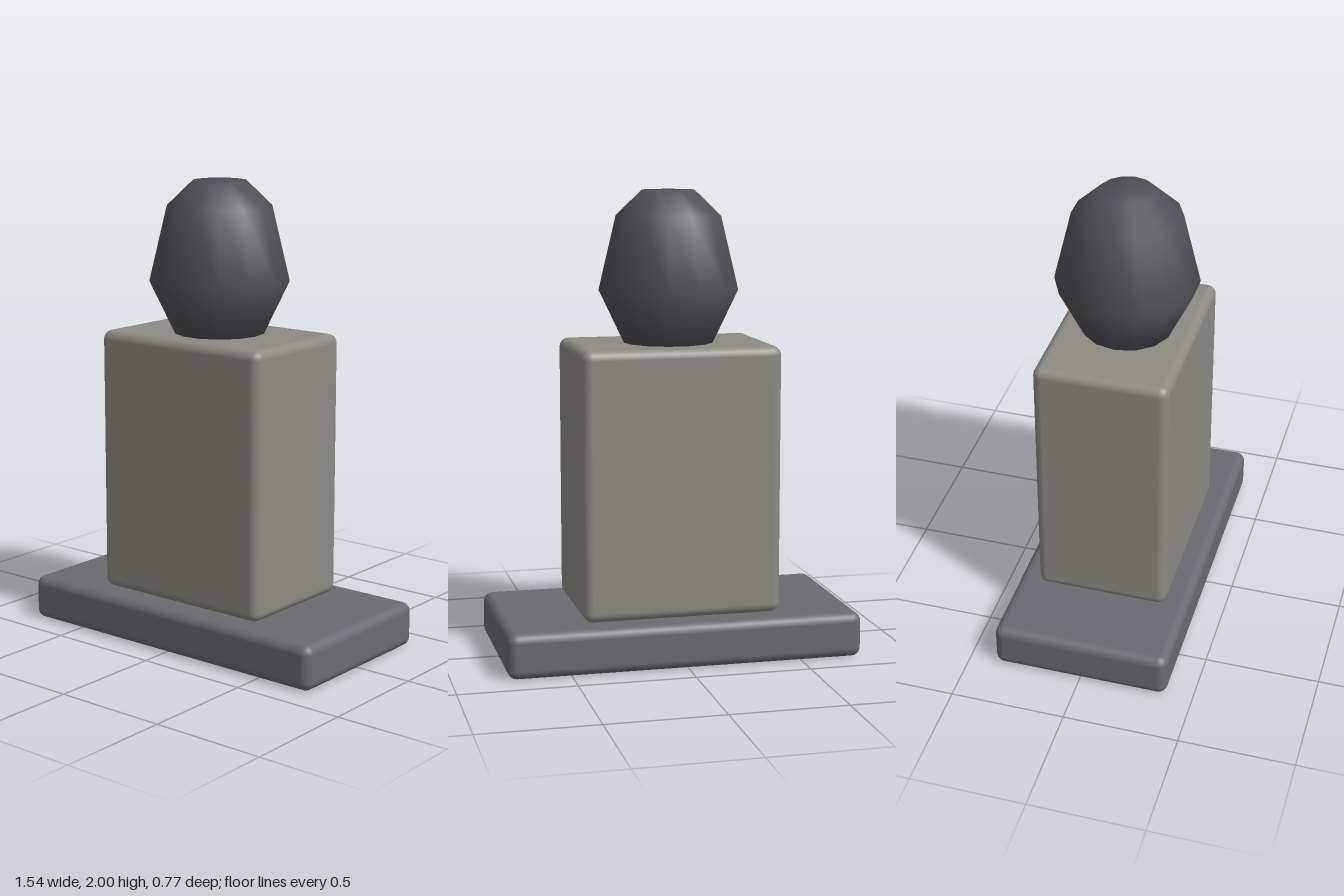
import * as THREE from 'three';
import { RoundedBoxGeometry } from 'three/addons/geometries/RoundedBoxGeometry.js';

// Rounded block standing on height y
function block(name, w, h, d, y, color) {
  const mesh = new THREE.Mesh(
    new RoundedBoxGeometry(w, h, d, 3, 0.04),
    new THREE.MeshStandardMaterial({ color })
  );
  mesh.name = name;
  mesh.position.y = y + h / 2;
  return mesh;
}

export function createModel() {
  const model = new THREE.Group();
  model.name = 'bust';

  // Wide plinth and upright body
  model.add(block('base', 1.54, 0.195, 0.77, 0, 0x6b6a70));
  model.add(block('body', 0.86, 1.155, 0.58, 0.195, 0x8c8a83));

  // Faceted egg-shaped head: 14 sides, one corner on +x, closed at both ends
  const profile = [
    [0, 1.34], [0.19, 1.34], [0.305, 1.58], [0.23, 1.89], [0.115, 2], [0, 2],
  ].map(([r, y]) => new THREE.Vector2(r, y));
  const head = new THREE.Mesh(
    new THREE.LatheGeometry(profile, 14, Math.PI / 2),
    new THREE.MeshStandardMaterial({ color: 0x515056 })
  );
  head.name = 'head';
  model.add(head);

  return model;
}
